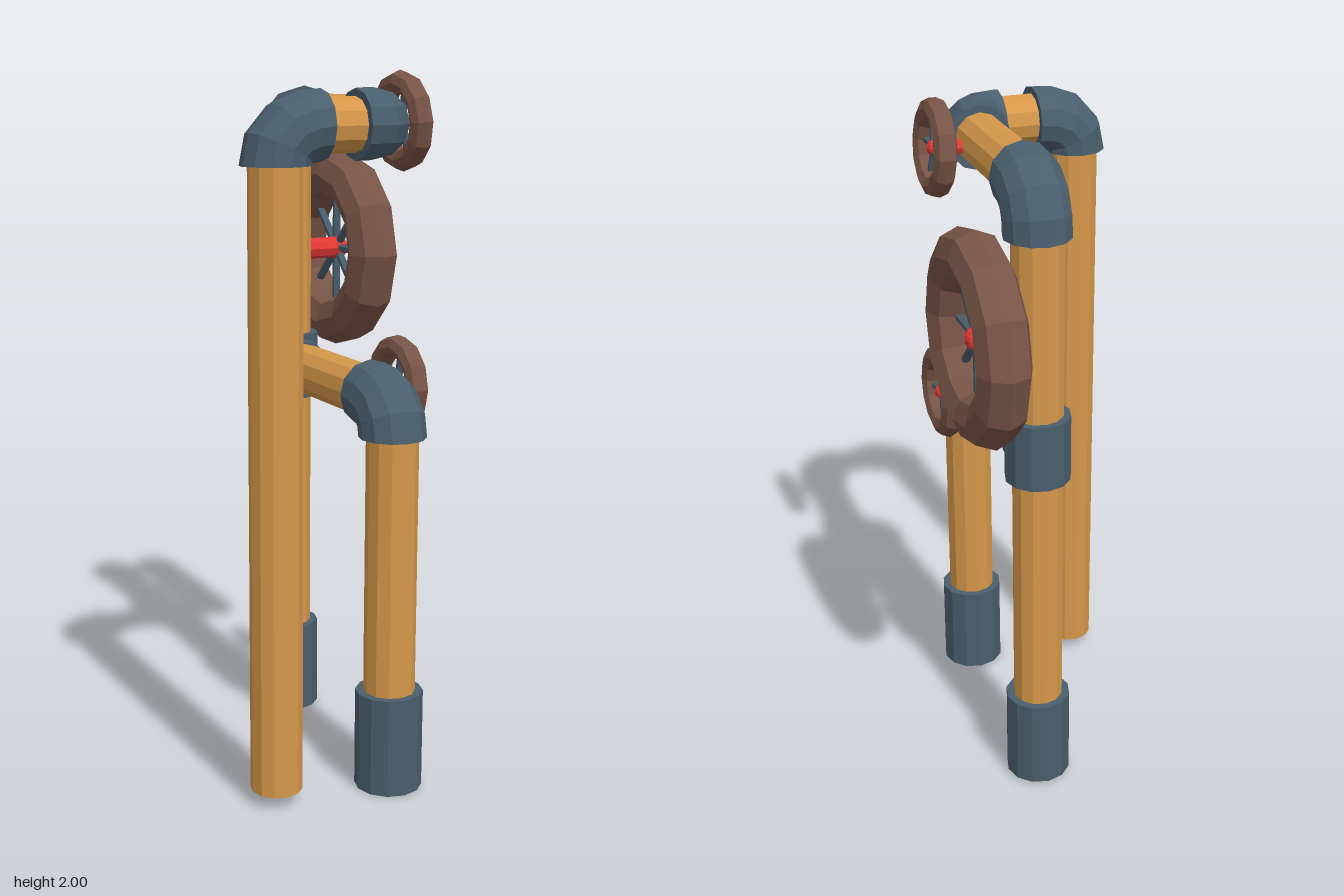
import * as THREE from 'three';

const V = (x, y, z) => new THREE.Vector3(x, y, z);
const paint = (color) => new THREE.MeshStandardMaterial({ color, flatShading: true });
const UP = V(0, 1, 0);
const SIDES = 12;
const PIPE_R = 0.073, JOINT_R = 0.094;

export function createModel() {
  const model = new THREE.Group();
  model.name = 'pipeFrame';
  const orange = paint(0xd6984a), steel = paint(0x4a5f6d);
  const brown = paint(0x795548), red = paint(0xe53935);

  function add(parent, name, geometry, material) {
    const mesh = new THREE.Mesh(geometry, material);
    mesh.name = name;
    parent.add(mesh);
    return mesh;
  }

  // Closed cylinder between two points, optionally tapered
  function rod(parent, name, a, b, r, material, sides = SIDES, rEnd = r) {
    const dir = b.clone().sub(a);
    const mesh = add(parent, name, new THREE.CylinderGeometry(rEnd, r, dir.length(), sides), material);
    mesh.position.copy(a).lerp(b, 0.5);
    mesh.quaternion.setFromUnitVectors(UP, dir.normalize());
    return mesh;
  }

  // Faceted bend from a through corner c to b, with closed ends
  function elbow(name, a, c, b) {
    const group = new THREE.Group();
    group.name = name;
    model.add(group);
    const curve = new THREE.QuadraticBezierCurve3(a, c, b);
    add(group, 'bend', new THREE.TubeGeometry(curve, 4, JOINT_R, SIDES), steel);
    for (const end of [a, b]) {
      const rim = add(group, 'rim', new THREE.CircleGeometry(JOINT_R, SIDES), steel);
      rim.position.copy(end);
      rim.quaternion.setFromUnitVectors(V(0, 0, 1), end.clone().sub(c).normalize());
    }
  }

  // Handwheel facing +x: ring, spokes, hub and axle back to the pipe
  function wheel(name, pos, outer, tube, spokes, spokeR, hubR, tilt, spin, axle) {
    const group = new THREE.Group();
    group.name = name;
    group.position.copy(pos);
    group.rotation.z = tilt;
    model.add(group);
    const ring = add(group, 'ring', new THREE.TorusGeometry(outer - tube, tube, 8, 12), brown);
    ring.rotation.y = Math.PI / 2;
    for (let i = 0; i < spokes; i++) {
      const t = spin + (i / spokes) * Math.PI * 2, r = outer - tube;
      rod(group, 'spoke', V(0, 0, 0), V(0, Math.cos(t) * r, Math.sin(t) * r), spokeR, steel, 6);
    }
    add(group, 'hub', new THREE.SphereGeometry(hubR, 10, 8), red);
    rod(group, 'axle', V(-axle, 0, 0), V(0, 0, 0), hubR * 0.9, red, 8);
  }

  const X = 0.09, LX = -0.245;            // main plane and side post
  const FZ = 0.43, BZ = -0.225, CZ = 0.39; // front post, back post, cross pipe
  const LOW = 1.12, TOP = 1.86;

  // Upright posts
  rod(model, 'frontPost', V(X, 0.1, FZ), V(X, 1.05, FZ), PIPE_R, orange);
  rod(model, 'backPost', V(X, 0.1, BZ), V(X, 1.76, BZ), PIPE_R, orange);
  rod(model, 'sidePost', V(LX, 0.04, CZ), V(LX, 1.79, CZ), PIPE_R, orange);

  // Foot sleeves
  rod(model, 'frontFoot', V(X, 0, FZ), V(X, 0.285, FZ), 0.096, steel);
  rod(model, 'backFoot', V(X, 0.01, BZ), V(X, 0.285, BZ), 0.096, steel);

  // Horizontal pipes
  rod(model, 'lowerRail', V(X, LOW, 0.33), V(X, LOW, -0.2), PIPE_R, orange);
  rod(model, 'upperRail', V(X, TOP, 0.27), V(X, TOP, -0.14), PIPE_R, orange);
  rod(model, 'crossPipe', V(-0.14, TOP, CZ), V(0.02, TOP, CZ), PIPE_R, orange);

  // Elbows
  elbow('lowerFrontElbow', V(X, 1.02, FZ), V(X, LOW, FZ), V(X, LOW, 0.3));
  elbow('upperBackElbow', V(X, 1.73, BZ), V(X, TOP, BZ), V(X, TOP, -0.11));
  elbow('upperFrontElbow', V(X, TOP, 0.25), V(X, TOP, CZ), V(-0.012, TOP, CZ));
  elbow('sideElbow', V(LX, 1.76, CZ), V(LX, TOP, CZ), V(-0.115, TOP, CZ));

  // Tee joint on the back post
  rod(model, 'teeSleeve', V(X, 1.02, BZ), V(X, 1.215, BZ), JOINT_R, steel);
  rod(model, 'teeBranch', V(X, LOW, BZ), V(X, LOW, -0.105), 0.096, steel, SIDES, 0.08);

  // Handwheels
  wheel('largeWheel', V(0.259, 1.465, -0.222), 0.302, 0.075, 8, 0.012, 0.035, 0, 0, 0.11);
  wheel('upperSmallWheel', V(0.236, TOP, 0.204), 0.14, 0.033, 5, 0.011, 0.023, 0.06, 0.3, 0.08);
  wheel('lowerSmallWheel', V(0.236, LOW - 0.003, 0.204), 0.14, 0.033, 4, 0.011, 0.023, 0, 0.2, 0.08);

  return model;
}
